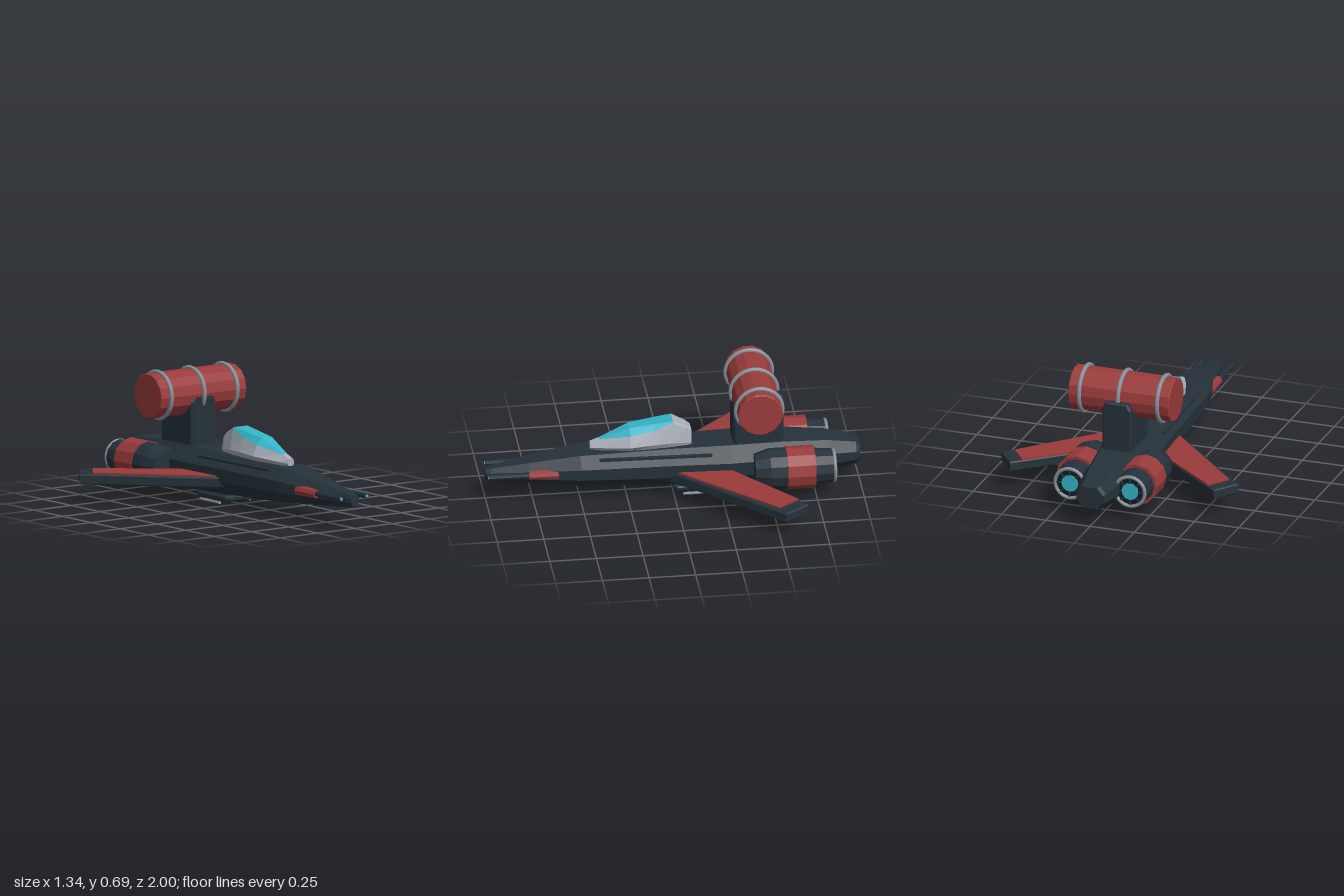
import * as THREE from 'three';

const mat = (name, color) => {
  const m = new THREE.MeshStandardMaterial({ color });
  m.name = name;
  return m;
};

// Facet a geometry with hard edges
function flat(geo) {
  const g = geo.index ? geo.toNonIndexed() : geo;
  g.computeVertexNormals();
  return g;
}

// Loft closed rings (counter-clockwise seen from +z), ordered front to back.
// pick(section, side) returns true for faces that go in the second material group.
function loft(rings, pick = () => false) {
  const sets = [[], []];
  const n = rings[0].length;
  for (let k = 0; k < rings.length - 1; k++) {
    const a = rings[k], b = rings[k + 1];
    for (let i = 0; i < n; i++) {
      const j = (i + 1) % n;
      sets[pick(k, i) ? 1 : 0].push(...a[i], ...b[i], ...b[j], ...a[i], ...b[j], ...a[j]);
    }
  }
  const f = rings[0], e = rings[rings.length - 1];
  for (let i = 1; i < n - 1; i++) {
    sets[0].push(...f[0], ...f[i], ...f[i + 1], ...e[0], ...e[i + 1], ...e[i]);
  }
  const g = new THREE.BufferGeometry();
  g.setAttribute('position', new THREE.Float32BufferAttribute([...sets[0], ...sets[1]], 3));
  g.addGroup(0, sets[0].length / 3, 0);
  if (sets[1].length) g.addGroup(sets[0].length / 3, sets[1].length / 3, 1);
  g.computeVertexNormals();
  return g;
}

// Horizontal plate from [x, z] corners, rising from y0 to y1
function plate(corners, y0, y1, bevel = 0) {
  const shape = new THREE.Shape(corners.map(([x, z]) => new THREE.Vector2(x, -z)));
  const g = new THREE.ExtrudeGeometry(shape, {
    depth: y1 - y0 - 2 * bevel, bevelEnabled: bevel > 0, bevelSize: bevel,
    bevelThickness: bevel, bevelOffset: -bevel, bevelSegments: 1,
  });
  return flat(g.rotateX(-Math.PI / 2).translate(0, y0 + bevel, 0));
}

// Cylinder along z from zBack to zFront
function tubeZ(rFront, rBack, zFront, zBack, sides) {
  const g = new THREE.CylinderGeometry(rFront, rBack, zFront - zBack, sides);
  return flat(g.rotateX(Math.PI / 2).translate(0, 0, (zFront + zBack) / 2));
}

export function createModel() {
  const model = new THREE.Group();
  const hull = mat('dark hull', 0x25313a);
  const black = mat('nozzle black', 0x141b20);
  const red = mat('red paint', 0x9a3b3b);
  const silver = mat('canopy silver', 0xa9aeb9);
  const steel = mat('band steel', 0x87909a);
  const cyan = mat('cyan glass', 0x35b4c8);

  const add = (name, geo, material, x = 0, y = 0, z = 0, parent = model) => {
    const m = new THREE.Mesh(geo, material);
    m.name = name;
    m.position.set(x, y, z);
    parent.add(m);
    return m;
  };

  // Fuselage: octagonal sections [z, half width, bottom, top]
  const body = [
    [1, 0.026, 0.12, 0.178], [0.97, 0.035, 0.113, 0.185], [0.77, 0.078, 0.098, 0.218],
    [0.5, 0.13, 0.078, 0.258], [0, 0.15, 0.06, 0.274], [-0.3, 0.162, 0.05, 0.278],
    [-0.58, 0.15, 0.052, 0.277], [-0.82, 0.115, 0.073, 0.26], [-0.98, 0.085, 0.098, 0.23],
    [-1, 0.072, 0.108, 0.22],
  ].map(([z, w, b, t]) => {
    const h = t - b, c = w * 0.58;
    return [[c, b, z], [w, b + h * 0.33, z], [w, b + h * 0.67, z], [c, t, z],
      [-c, t, z], [-w, b + h * 0.67, z], [-w, b + h * 0.33, z], [-c, b, z]];
  });
  add('fuselage', loft(body), hull);

  // Canopy: [z, bottom w, y, side w, y, shoulder w, y, top w, y]
  const canopy = [
    [0.44, 0.014, 0.262, 0.022, 0.275, 0.016, 0.298, 0.008, 0.303],
    [0.39, 0.03, 0.26, 0.042, 0.28, 0.014, 0.318, 0.008, 0.322],
    [0.23, 0.065, 0.26, 0.094, 0.295, 0.068, 0.352, 0.034, 0.386],
    [0.1, 0.065, 0.26, 0.086, 0.3, 0.06, 0.373, 0.04, 0.404],
    [0, 0.06, 0.26, 0.075, 0.3, 0.05, 0.408, 0.044, 0.417],
    [-0.075, 0.05, 0.26, 0.058, 0.29, 0.045, 0.37, 0.036, 0.378],
    [-0.1, 0.042, 0.265, 0.05, 0.29, 0.038, 0.352, 0.03, 0.358],
  ].map(([z, bw, by, sw, sy, hw, hy, tw, ty]) => [
    [bw, by, z], [sw, sy, z], [hw, hy, z], [tw, ty, z],
    [-tw, ty, z], [-hw, hy, z], [-sw, sy, z], [-bw, by, z]]);
  const glass = (k, i) => k >= 1 && k <= 3 && i >= 2 && i <= 4;
  add('canopy', loft(canopy, glass), [silver, cyan]);

  // Pylon with chamfered top corners
  const pylonShape = new THREE.Shape([
    [-0.082, 0.25], [0.082, 0.25], [0.082, 0.51], [0.06, 0.545], [-0.06, 0.545], [-0.082, 0.51],
  ].map(([x, y]) => new THREE.Vector2(x, y)));
  const pylon = new THREE.ExtrudeGeometry(pylonShape, {
    depth: 0.25, bevelEnabled: true, bevelSize: 0.01, bevelThickness: 0.01, bevelOffset: -0.01, bevelSegments: 1,
  });
  add('pylon', flat(pylon), hull, 0, 0, -0.58);

  // Cross-mounted tank with three bands
  const tank = new THREE.Group();
  tank.name = 'tank';
  tank.position.set(0, 0.55, -0.44);
  model.add(tank);
  const edge = [[0, -0.285], [0.117, -0.285], [0.122, -0.28], [0.122, 0.28], [0.117, 0.285], [0, 0.285]];
  const drum = new THREE.LatheGeometry(edge.map(([r, y]) => new THREE.Vector2(r, y)), 14);
  add('tankDrum', flat(drum.rotateZ(Math.PI / 2)), red, 0, 0, 0, tank);
  for (const x of [-0.22, 0, 0.22]) {
    add('tankBand', new THREE.TorusGeometry(0.125, 0.012, 8, 28).rotateY(Math.PI / 2), steel, x, 0, 0, tank);
  }

  // Belly skid
  const skid = [[-0.09, -0.02], [-0.07, 0], [0.07, 0], [0.09, -0.02],
    [0.09, -0.26], [0.07, -0.28], [-0.07, -0.28], [-0.09, -0.26]];
  add('bellySkid', plate(skid, 0.015, 0.045, 0.008), hull);
  add('skidMount', new THREE.BoxGeometry(0.12, 0.03, 0.2), hull, 0, 0.055, -0.14);

  for (const s of [1, -1]) {
    const side = s > 0 ? 'left' : 'right';
    const flip = (pts) => pts.map(([x, z]) => [s * x, z]);

    // Swept wing and its painted panel
    add(side + 'Wing', plate(flip([[0.1, 0.06], [0.67, -0.53], [0.575, -0.66], [0.1, -0.25]]), 0.1, 0.155, 0.006), hull);
    add(side + 'WingPanel', plate(flip([[0.14, -0.005], [0.605, -0.5], [0.525, -0.612], [0.14, -0.285]]), 0.155, 0.164), red);

    // Engine pod
    const engine = new THREE.Group();
    engine.name = side + 'Engine';
    engine.position.set(s * 0.17, 0.163, 0);
    model.add(engine);
    add('engineIntake', tubeZ(0.085, 0.11, -0.42, -0.5, 12), hull, 0, 0, 0, engine);
    add('engineBody', tubeZ(0.11, 0.11, -0.5, -0.6, 12), hull, 0, 0, 0, engine);
    add('engineBand', tubeZ(0.115, 0.115, -0.59, -0.74, 12), red, 0, 0, 0, engine);
    add('engineNozzle', tubeZ(0.098, 0.09, -0.74, -0.84, 12), hull, 0, 0, 0, engine);
    add('nozzleBack', tubeZ(0.08, 0.08, -0.838, -0.842, 16), black, 0, 0, 0, engine);
    add('nozzleRing', new THREE.TorusGeometry(0.083, 0.01, 8, 24), steel, 0, 0, -0.845, engine);
    add('nozzleGlow', tubeZ(0.047, 0.047, -0.838, -0.848, 12), cyan, 0, 0, 0, engine);
    for (let i = 0; i < 8; i++) {
      const a = (i * Math.PI) / 4;
      const vane = add('nozzleVane', new THREE.BoxGeometry(0.03, 0.008, 0.012), hull,
        Math.cos(a) * 0.062, Math.sin(a) * 0.062, -0.845, engine);
      vane.rotation.z = a;
    }

    // Nose cannon
    const cannon = new THREE.Group();
    cannon.name = side + 'Cannon';
    cannon.position.set(s * 0.085, 0.165, 0);
    model.add(cannon);
    add('cannonHousing', tubeZ(0.024, 0.031, 0.775, 0.62, 8), red, 0, 0, 0, cannon);
    add('cannonBarrel', tubeZ(0.014, 0.014, 0.99, 0.77, 8), hull, 0, 0, 0, cannon);
    add('cannonTip', tubeZ(0.009, 0.009, 0.995, 0.985, 8), cyan, 0, 0, 0, cannon);

    // Shoulder rail along the fuselage and landing rod below
    const rail = add(side + 'ShoulderRail', new THREE.BoxGeometry(0.02, 0.012, 0.6), hull, s * 0.118, 0.243, 0.1);
    rail.rotation.y = -s * 0.03;
    add(side + 'SkidRod', tubeZ(0.008, 0.008, -0.05, -0.22, 8), steel, s * 0.1, 0.008, 0);
  }
  return model;
}
